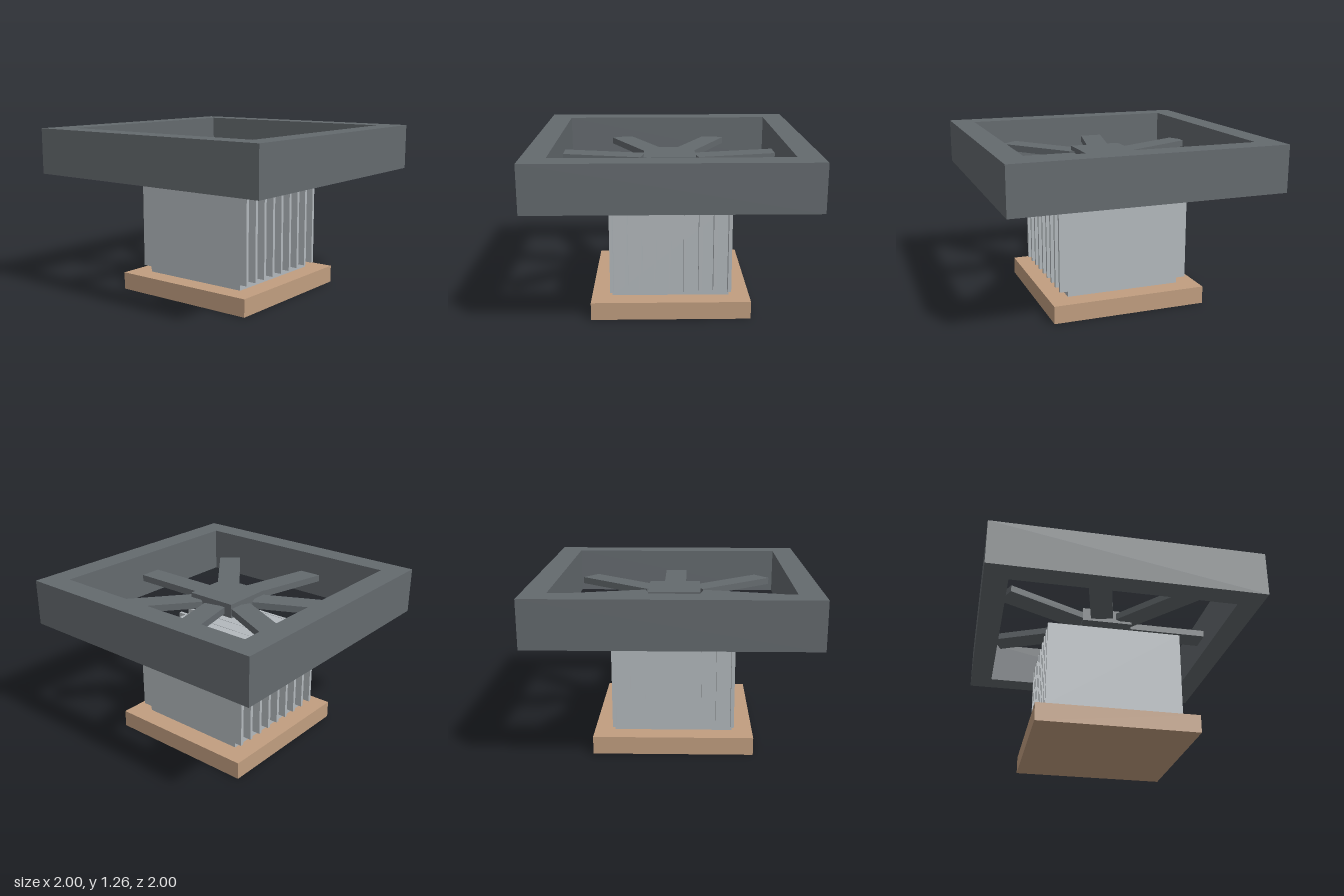
import * as THREE from 'three';

export function createModel() {
  const model = new THREE.Group();
  model.name = 'fanCooler';

  const material = (name, color) => {
    const m = new THREE.MeshStandardMaterial({ color });
    m.name = name;
    return m;
  };
  const darkGrey = material('darkGrey', 0x646a6e);
  const lightGrey = material('lightGrey', 0xb3b9bd);
  const copper = material('copper', 0xc19e80);

  // Box spanning bottom to top in y
  const box = (name, mat, w, d, bottom, top, x = 0, z = 0) => {
    const mesh = new THREE.Mesh(new THREE.BoxGeometry(w, top - bottom, d), mat);
    mesh.name = name;
    mesh.position.set(x, (bottom + top) / 2, z);
    return mesh;
  };

  // Base plate and finned block
  model.add(box('basePlate', copper, 1.17, 1.17, 0, 0.132));
  model.add(box('heatsinkCore', lightGrey, 0.87, 0.87, 0.132, 0.828));
  const fins = new THREE.Group();
  fins.name = 'heatsinkFins';
  for (let i = -4; i <= 4; i++) {
    fins.add(box('fin', lightGrey, 1.0, 0.025, 0.177, 0.83, 0, i * 0.1085));
  }
  model.add(fins);

  // Square frame with an open centre
  const square = (path, r) => {
    path.moveTo(-r, -r);
    path.lineTo(r, -r);
    path.lineTo(r, r);
    path.lineTo(-r, r);
    path.closePath();
    return path;
  };
  const outline = square(new THREE.Shape(), 1);
  outline.holes.push(square(new THREE.Path(), 0.827));
  const frameGeometry = new THREE.ExtrudeGeometry(outline, { depth: 0.342, bevelEnabled: false });
  frameGeometry.rotateX(-Math.PI / 2);
  const frame = new THREE.Mesh(frameGeometry, darkGrey);
  frame.name = 'fanFrame';
  frame.position.y = 0.92;
  model.add(frame);

  // Hub with seven flat blades, the first pointing to +x
  const rotor = new THREE.Group();
  rotor.name = 'fanRotor';
  rotor.add(box('hub', darkGrey, 0.39, 0.39, 1.025, 1.13));
  for (let i = 0; i < 7; i++) {
    const arm = new THREE.Group();
    arm.name = 'bladeArm';
    arm.add(box('blade', darkGrey, 0.7, 0.172, 1.045, 1.096, 0.56));
    arm.rotation.y = (i / 7) * Math.PI * 2;
    rotor.add(arm);
  }
  model.add(rotor);

  return model;
}
